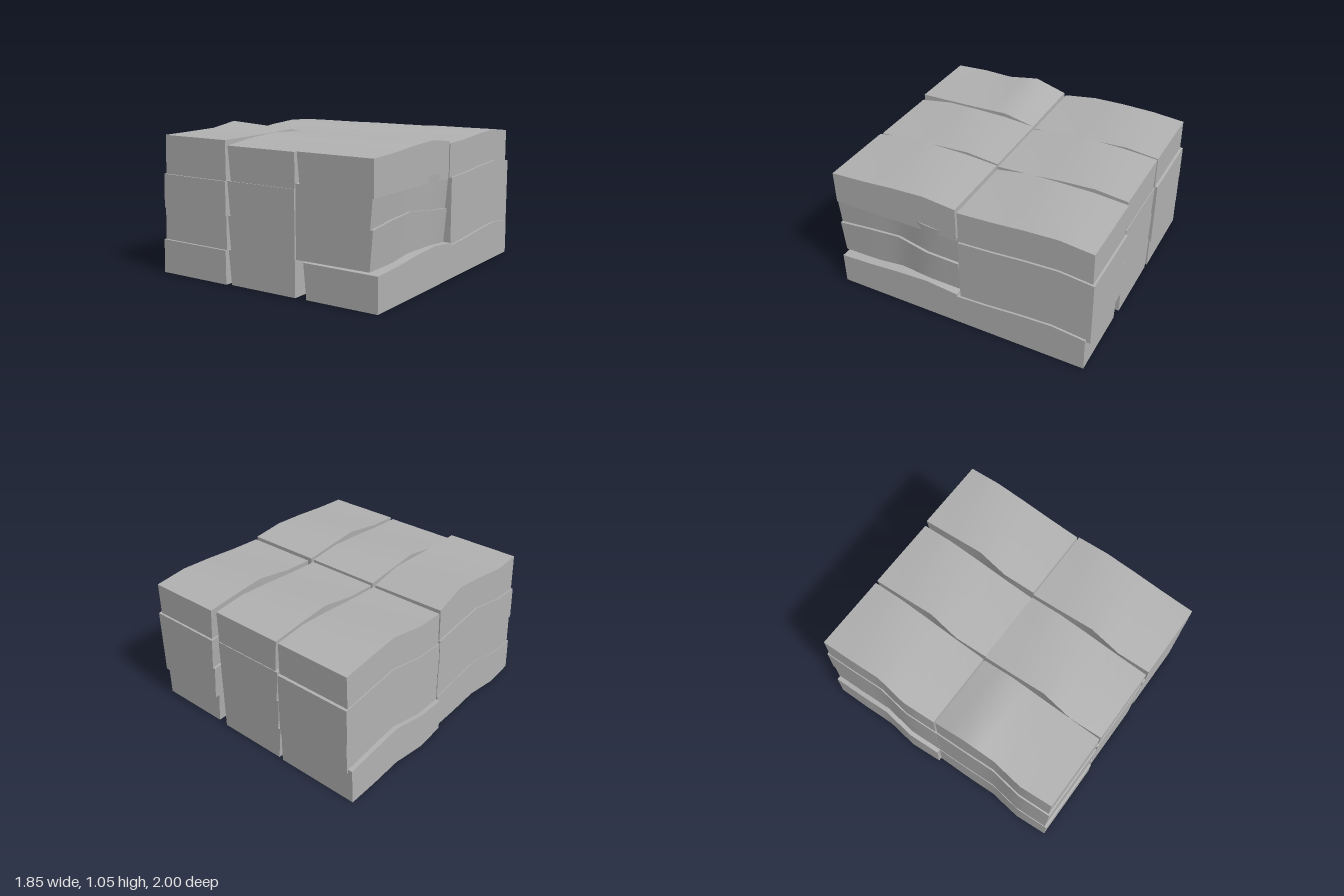
import * as THREE from 'three';

// Profiles along a sack, sampled from its back end to its front end
const RIGHT_TOP = [0.258, 0.284, 0.272, 0.252, 0.24];
const LEFT_TOP = [0.262, 0.285, 0.296, 0.272, 0.245];
const PEAKED_TOP = [0.262, 0.335, 0.3, 0.288, 0.285];
const PEAKED_RIGHT = [0.25, 0.3, 0.29, 0.285, 0.28];
const LEFT_WAVE = [0, 0.005, 0.016, -0.014, 0.004];
const STEP = 0.238;

function sample(profile, t) {
  const s = t * (profile.length - 1);
  const i = Math.min(Math.floor(s), profile.length - 2);
  return THREE.MathUtils.lerp(profile[i], profile[i + 1], s - i);
}

// Open-bottomed sack: a box with a wavy top and a wavy, leaning left side
function sackGeometry(width, length, lean, leftTop, rightTop) {
  const geo = new THREE.BoxGeometry(1, 1, 1, 2, 1, 8);
  const bottom = geo.groups[3];
  const index = Array.from(geo.index.array);
  index.splice(bottom.start, bottom.count);
  geo.setIndex(index);
  geo.clearGroups();

  const p = geo.attributes.position;
  for (let i = 0; i < p.count; i++) {
    const u = p.getX(i) + 0.5;
    const v = p.getY(i) + 0.5;
    const t = p.getZ(i) + 0.5;
    const height = THREE.MathUtils.lerp(sample(leftTop, t), sample(rightTop, t), u);
    const shift = (sample(LEFT_WAVE, t) + lean * (1 - v)) * (1 - u);
    p.setXYZ(i, (u - 0.5) * width + shift, v * height, (t - 0.5) * length);
  }
  geo.computeVertexNormals();
  return geo;
}

// Each stack lists its layers from the ground up: [x0, x1, z0, z1]
const STACKS = [
  { name: 'frontFirstStack', lean: -0.008, layers: [
    [-0.88, -0.29, 0.01, 0.995], [-0.868, -0.29, 0.01, 0.98],
    [-0.868, -0.29, 0.01, 0.985], [-0.85, -0.29, 0.015, 0.975]], peaked: true },
  { name: 'frontMiddleStack', lean: 0.022, layers: [
    [-0.278, 0.29, 0.005, 0.98], [-0.278, 0.29, 0.005, 0.98],
    [-0.278, 0.29, 0.005, 0.98], [-0.272, 0.29, 0.005, 0.975]] },
  { name: 'frontLastStack', lean: 0.022, layers: [
    [0.35, 0.915, 0, 0.975], [0.30, 0.88, 0, 0.98],
    [0.30, 0.88, -0.015, 0.98], [0.31, 0.885, 0, 0.98]], turned: [1, 2] },
  { name: 'backFirstStack', lean: -0.008, layers: [
    [-0.91, -0.285, -0.98, 0.005], [-0.87, -0.285, -0.99, 0.005],
    [-0.87, -0.285, -0.99, 0.005], [-0.855, -0.285, -0.97, 0]] },
  { name: 'backMiddleStack', lean: 0.022, layers: [
    [-0.27, 0.29, -0.975, 0], [-0.27, 0.29, -0.975, 0],
    [-0.27, 0.29, -0.975, 0], [-0.268, 0.29, -0.97, 0]] },
  { name: 'backLastStack', lean: 0.022, layers: [
    [0.35, 0.915, -0.968, 0], [0.33, 0.9, -1, -0.02],
    [0.33, 0.9, -1, -0.02], [0.325, 0.885, -0.985, -0.015]] },
];

export function createModel() {
  const model = new THREE.Group();
  model.name = 'sackPile';
  const cloth = new THREE.MeshStandardMaterial({ color: 0xb0b0b0, side: THREE.DoubleSide });
  cloth.name = 'greyCloth';

  for (const { name, lean, layers, peaked, turned = [] } of STACKS) {
    const stack = new THREE.Group();
    stack.name = name;
    layers.forEach(([x0, x1, z0, z1], level) => {
      const tall = peaked && level === 3;
      const sack = new THREE.Mesh(
        sackGeometry(x1 - x0, z1 - z0, lean,
          tall ? PEAKED_TOP : LEFT_TOP, tall ? PEAKED_RIGHT : RIGHT_TOP),
        cloth);
      sack.name = 'sack' + (level + 1);
      sack.position.set((x0 + x1) / 2, level * STEP, (z0 + z1) / 2);
      // A few sacks are laid the other way round
      if (turned.includes(level)) {
        sack.rotation.y = Math.PI;
        sack.position.y += 0.02;
      }
      stack.add(sack);
    });
    model.add(stack);
  }
  return model;
}
